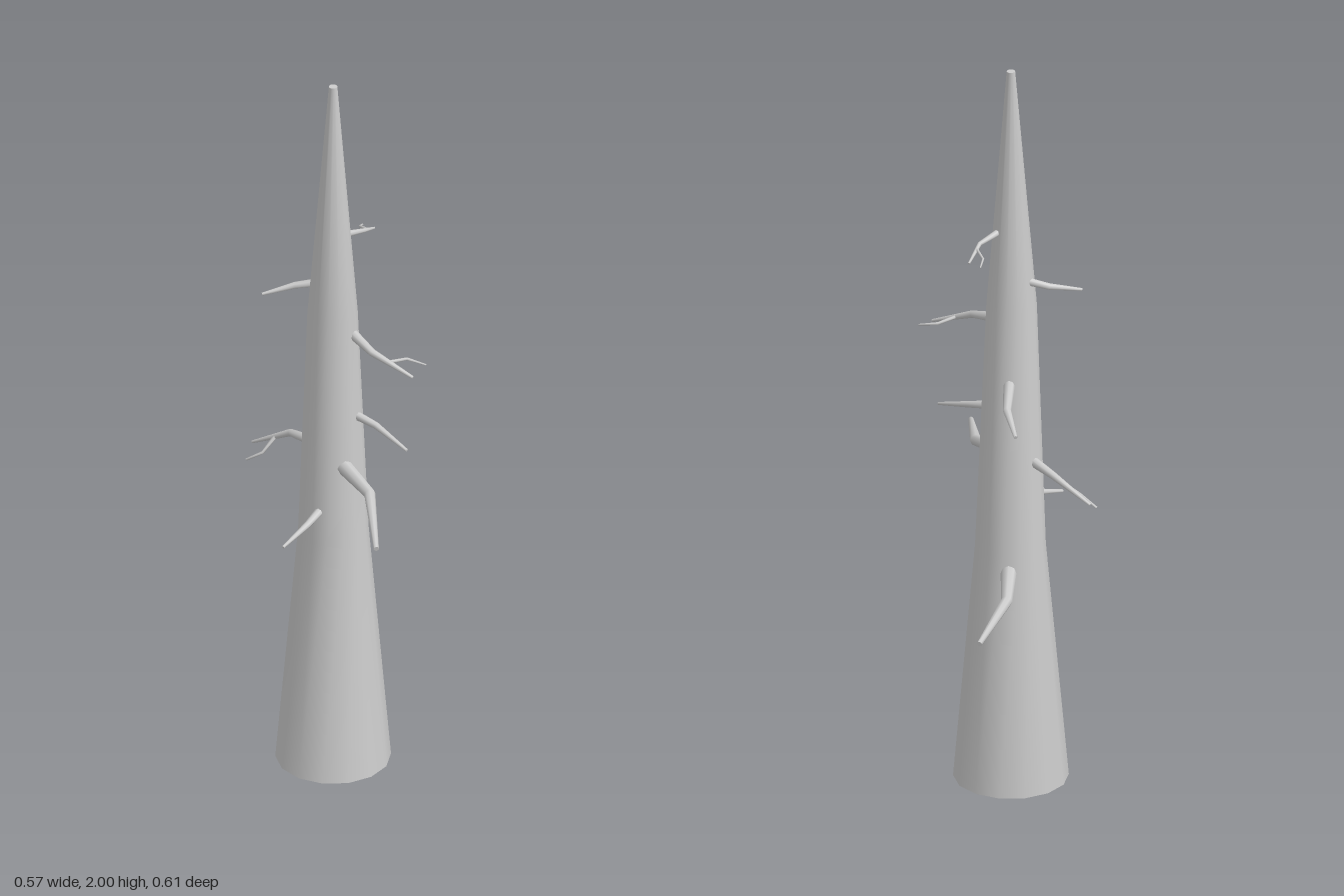
import * as THREE from 'three';

const material = new THREE.MeshStandardMaterial({ color: 0xcccccc });

// Closed tapered limb through points [x, y, z, radius], smooth sides and flat ends.
// With an axis given, every ring stays square to that axis.
function limb(name, points, sides, axis) {
  const centres = points.map(p => new THREE.Vector3(p[0], p[1], p[2]));
  const n = centres.length;
  const pos = [], index = [];
  const rings = centres.map((c, i) => {
    const t = axis ? axis.clone()
      : centres[Math.min(i + 1, n - 1)].clone().sub(centres[Math.max(i - 1, 0)]).normalize();
    const ref = axis ? new THREE.Vector3(1, 0, 0) : new THREE.Vector3(0, 1, 0);
    const u = ref.cross(t).normalize();
    const v = t.clone().cross(u);
    return Array.from({ length: sides }, (_, j) => {
      const a = (j / sides) * Math.PI * 2;
      return c.clone()
        .addScaledVector(u, Math.cos(a) * points[i][3])
        .addScaledVector(v, Math.sin(a) * points[i][3]);
    });
  });
  rings.forEach(ring => ring.forEach(p => pos.push(p.x, p.y, p.z)));
  for (let i = 0; i < n - 1; i++) {
    for (let j = 0; j < sides; j++) {
      const a = i * sides + j, b = i * sides + (j + 1) % sides;
      index.push(a, b, b + sides, a, b + sides, a + sides);
    }
  }
  // End caps use their own vertices so the rims stay sharp
  for (const end of [0, n - 1]) {
    const base = pos.length / 3;
    [centres[end], ...rings[end]].forEach(p => pos.push(p.x, p.y, p.z));
    for (let j = 0; j < sides; j++) {
      const a = base + 1 + j, b = base + 1 + (j + 1) % sides;
      if (end === 0) index.push(base, b, a);
      else index.push(base, a, b);
    }
  }
  const geometry = new THREE.BufferGeometry();
  geometry.setAttribute('position', new THREE.Float32BufferAttribute(pos, 3));
  geometry.setIndex(index);
  geometry.computeVertexNormals();
  const mesh = new THREE.Mesh(geometry, material);
  mesh.name = name;
  return mesh;
}

// Each branch: root, elbow, tip as [x, y, z, radius]; some fork into a twig
const branches = [
  { name: 'lowerBackBranch',
    path: [[-0.08, 0.625, -0.01, 0.021], [-0.155, 0.6, -0.116, 0.015], [-0.212, 0.565, -0.306, 0.007]] },
  { name: 'lowerFrontBranch',
    path: [[-0.022, 0.765, 0.125, 0.012], [-0.015, 0.753, 0.196, 0.009], [-0.026, 0.725, 0.288, 0.004]] },
  { name: 'bigFrontBranch',
    path: [[0.025, 0.9, 0.1, 0.021], [0.144, 0.875, 0.143, 0.015], [0.281, 0.835, 0.302, 0.007]] },
  { name: 'forkedRightBranch',
    path: [[-0.09, 0.915, 0.068, 0.014], [-0.176, 0.902, 0.05, 0.01], [-0.286, 0.843, 0.066, 0.004]],
    twig: [[-0.219, 0.88, 0.057, 0.006], [-0.231, 0.845, 0.096, 0.004], [-0.274, 0.815, 0.109, 0.003]] },
  { name: 'middleLeftBranch',
    path: [[0.035, 1.037, 0.062, 0.012], [0.1, 1.022, 0.055, 0.009], [0.206, 0.99, 0.066, 0.004]] },
  { name: 'middleBackBranch',
    path: [[-0.055, 1.137, 0.025, 0.015], [-0.128, 1.118, -0.079, 0.011], [-0.206, 1.09, -0.145, 0.005]] },
  { name: 'forkedLeftBranch',
    path: [[0.03, 1.285, 0.07, 0.014], [0.113, 1.262, 0.09, 0.01], [0.228, 1.218, 0.07, 0.004]],
    twig: [[0.16, 1.245, 0.081, 0.005], [0.18, 1.238, 0.03, 0.004], [0.228, 1.228, 0.012, 0.002]] },
  { name: 'upperFrontBranch',
    path: [[-0.065, 1.408, 0.086, 0.011], [-0.115, 1.396, 0.116, 0.009], [-0.172, 1.38, 0.18, 0.004]] },
  { name: 'upperBackBranch',
    path: [[-0.008, 1.548, 0.035, 0.009], [0.004, 1.535, -0.023, 0.006], [-0.01, 1.507, -0.087, 0.003]],
    twig: [[-0.002, 1.528, -0.042, 0.004], [-0.035, 1.517, -0.059, 0.003], [-0.047, 1.505, -0.087, 0.002]] },
];

export function createModel() {
  const tree = new THREE.Group();
  tree.name = 'deadTree';

  // Slightly wavering trunk, narrowing to a blunt tip
  tree.add(limb('trunk', [
    [-0.026, 0, 0.07, 0.149],
    [-0.036, 0.667, 0.055, 0.091],
    [-0.019, 1.333, 0.082, 0.065],
    [-0.026, 2, 0.07, 0.011],
  ], 14, new THREE.Vector3(0, 1, 0)));

  // Bare branches with their twigs
  for (const { name, path, twig } of branches) {
    const branch = new THREE.Group();
    branch.name = name;
    branch.add(limb('stem', path, 8));
    if (twig) branch.add(limb('twig', twig, 6));
    tree.add(branch);
  }
  return tree;
}
